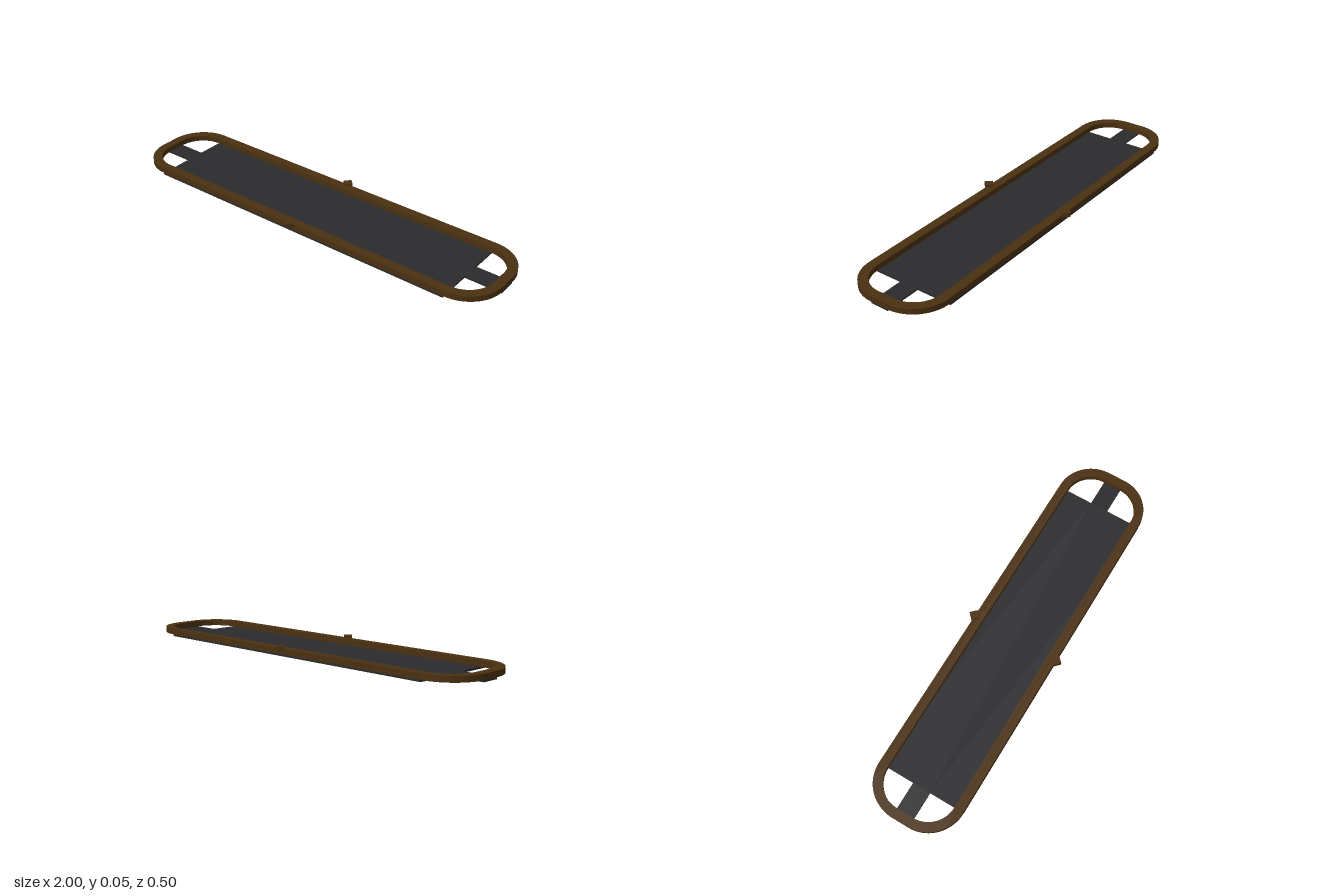
import * as THREE from 'three';

const frameMat = new THREE.MeshStandardMaterial({ color: 0x4a3010 });
const plateMat = new THREE.MeshStandardMaterial({ color: 0x2b2b2d });

// Rounded rectangle centred on the origin
function roundedRect(target, hx, hy, r) {
  target.moveTo(hx, -hy + r);
  target.absarc(hx - r, hy - r, r, 0, Math.PI / 2);
  target.absarc(-hx + r, hy - r, r, Math.PI / 2, Math.PI);
  target.absarc(-hx + r, -hy + r, r, Math.PI, Math.PI * 1.5);
  target.absarc(hx - r, -hy + r, r, Math.PI * 1.5, Math.PI * 2);
  return target;
}

// Flat shape extruded upward from y0 to y1
function slab(name, shape, y0, y1, material) {
  const geo = new THREE.ExtrudeGeometry(shape, { depth: y1 - y0, bevelEnabled: false, curveSegments: 12 });
  geo.rotateX(-Math.PI / 2).translate(0, y0, 0);
  const mesh = new THREE.Mesh(geo, material);
  mesh.name = name;
  return mesh;
}

export function createModel() {
  const model = new THREE.Group();
  model.name = 'tray';

  // Base plate with a narrow tab at each end
  const px = 0.82, pz = 0.222, tx = 0.998, tz = 0.045;
  const outline = [
    [-px, -pz], [px, -pz], [px, -tz], [tx, -tz], [tx, tz], [px, tz],
    [px, pz], [-px, pz], [-px, tz], [-tx, tz], [-tx, -tz], [-px, -tz],
  ].map(([x, y]) => new THREE.Vector2(x, y));
  model.add(slab('basePlate', new THREE.Shape(outline), 0, 0.009, plateMat));

  // Rounded rim running around the plate
  const rim = roundedRect(new THREE.Shape(), 1, 0.222, 0.178);
  rim.holes.push(roundedRect(new THREE.Path(), 0.955, 0.177, 0.133));
  model.add(slab('rim', rim, 0.009, 0.036, frameMat));

  // Diamond studs at the middle of the long sides
  for (const side of [1, -1]) {
    const stud = new THREE.Mesh(new THREE.BoxGeometry(0.039, 0.022, 0.039), frameMat);
    stud.name = side > 0 ? 'frontStud' : 'backStud';
    stud.rotation.y = Math.PI / 4;
    stud.position.set(0, 0.036, side * 0.223);
    model.add(stud);
  }

  return model;
}
